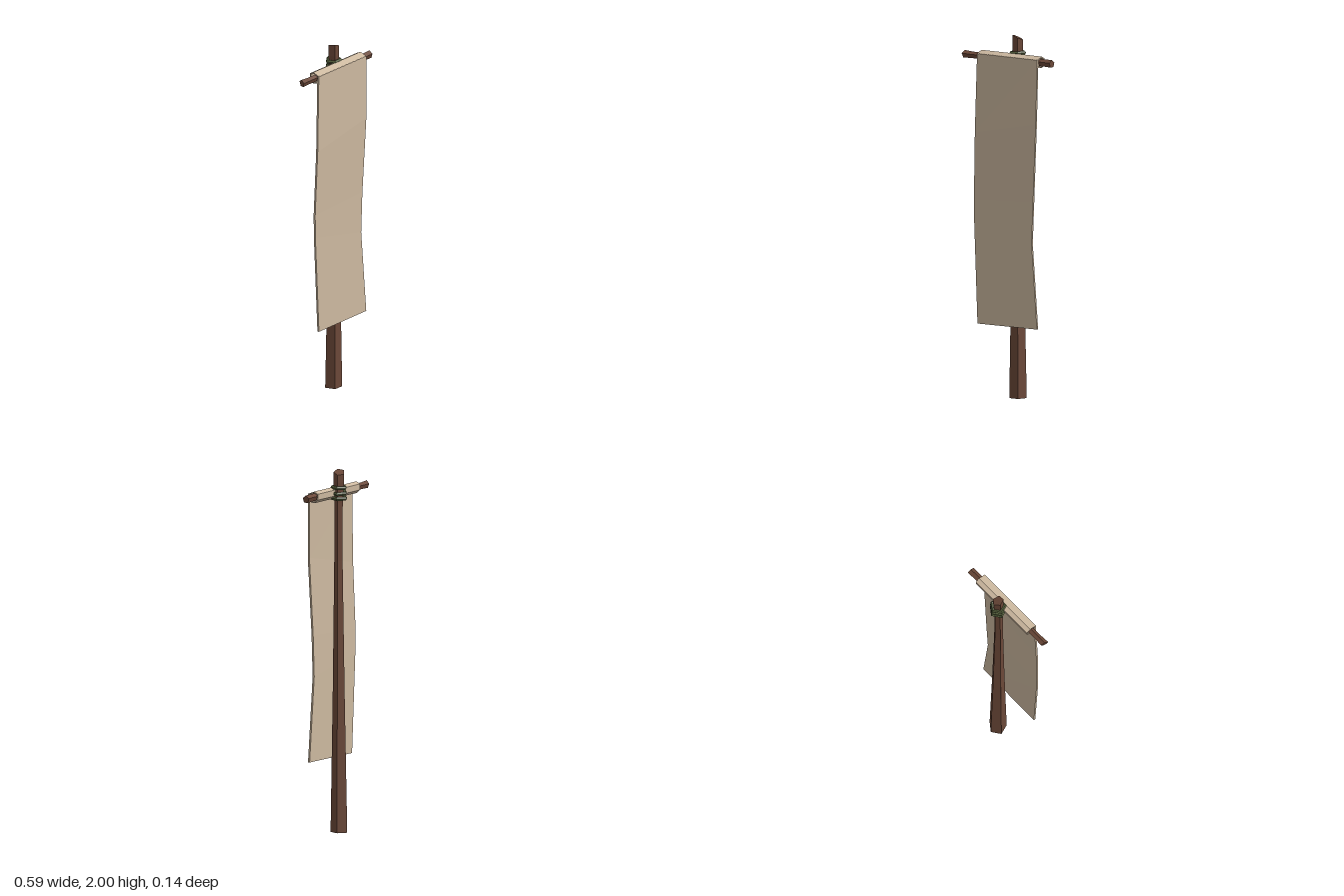
import * as THREE from 'three';

const material = (color, side = THREE.FrontSide) =>
  new THREE.MeshStandardMaterial({ color, flatShading: true, side });
const wood = material(0x6b4838);
const cloth = material(0xcdb9a0, THREE.DoubleSide);
const cord = material(0x55603c);

// Closed solid through rings of points (each ring clockwise seen from the far end)
function loft(rings) {
  const n = rings[0].length, index = [];
  for (let r = 0; r < rings.length - 1; r++) {
    for (let i = 0; i < n; i++) {
      const j = (i + 1) % n, a = r * n, b = a + n;
      index.push(a + i, b + i, a + j, a + j, b + i, b + j);
    }
  }
  const top = (rings.length - 1) * n;
  for (let i = 1; i < n - 1; i++) index.push(0, i, i + 1, top, top + i + 1, top + i);
  const g = new THREE.BufferGeometry();
  g.setAttribute('position', new THREE.Float32BufferAttribute(rings.flat(2), 3));
  g.setIndex(index);
  const flat = g.toNonIndexed();
  flat.computeVertexNormals();
  return flat;
}

// Five points around a centre, as [cos, sin] pairs mapped by a function
const pentagon = (fn) => Array.from({ length: 5 }, (_, i) => {
  const a = (i * Math.PI * 2) / 5;
  return fn(Math.cos(a), Math.sin(a));
});

export function createModel() {
  const model = new THREE.Group();
  const add = (name, geometry, mat) => {
    const mesh = new THREE.Mesh(geometry, mat);
    mesh.name = name;
    model.add(mesh);
    return mesh;
  };

  // Tapering five-sided pole with a slanted cut at the top: [y, radius, z, slant]
  const poleRings = [
    [0, 0.05, -0.018, 0],
    [0.75, 0.036, -0.015, 0],
    [1.5, 0.025, -0.012, 0],
    [1.82, 0.025, -0.013, 0],
    [1.93, 0.031, -0.015, 0],
    [1.985, 0.031, -0.015, 0.014],
  ].map(([y, r, z, slant]) => pentagon((c, s) =>
    [0.033 + r * s, y - slant * (0.6 * c + 0.8 * s), z - r * c]));
  add('pole', loft(poleRings), wood);

  // Crossbar, slightly turned, with rough cut ends: [x, radius, y, z, slant]
  const barRings = [
    [-0.29, 0.022, 1.868, 0.033, 0.007],
    [-0.24, 0.019, 1.867, 0.032, 0],
    [0.25, 0.021, 1.867, 0.024, 0],
    [0.294, 0.022, 1.866, 0.022, 0.001],
  ].map(([x, r, y, z, slant]) => pentagon((c, s) =>
    [x + slant * (s - 0.3 * c), y + r * c, z - r * s]));
  add('crossbar', loft(barRings), wood);

  // Cord wound around the pole at the joint
  [[1.842, 0.04, 0.03], [1.87, 0.038, -0.06], [1.9, 0.037, 0.05]].forEach(([y, r, tilt], i) => {
    const g = new THREE.TorusGeometry(r, 0.011, 5, 5);
    g.rotateZ(-Math.PI / 2).rotateX(Math.PI / 2);
    const ring = add('cordWrap' + (i + 1), g, cord);
    ring.position.set(0.033, y, -0.015);
    ring.rotation.z = tilt;
  });

  // Sleeve of cloth folded over the crossbar
  const outer = [[0.063, 1.884], [0.022, 1.9], [-0.003, 1.888], [-0.002, 1.855], [0.02, 1.836], [0.05, 1.842]];
  const inner = outer.map(([z, y]) => [0.029 + (z - 0.029) * 0.78, 1.868 + (y - 1.868) * 0.78]);
  const points = (list) => list.map(([z, y]) => new THREE.Vector2(-z, y));
  const shape = new THREE.Shape(points(outer));
  shape.holes.push(new THREE.Path(points(inner)));
  const sleeve = new THREE.ExtrudeGeometry(shape, { depth: 0.406, bevelEnabled: false });
  sleeve.rotateY(Math.PI / 2).translate(-0.184, 0, 0);
  const p = sleeve.attributes.position;
  for (let i = 0; i < p.count; i++) p.setZ(i, p.getZ(i) - 0.016 * p.getX(i));
  sleeve.computeVertexNormals();
  add('clothSleeve', sleeve, cloth);

  // Hanging cloth: [y left, y right, x left, x right, front z left, front z right]
  const thick = 0.011;
  const sheetRings = [
    [0.398, 0.402, -0.182, 0.221, 0.064, 0.06],
    [0.95, 0.87, -0.207, 0.182, 0.06, 0.057],
    [1.08, 1.1, -0.209, 0.192, 0.06, 0.057],
    [1.45, 1.53, -0.197, 0.216, 0.068, 0.065],
    [1.885, 1.885, -0.184, 0.222, 0.065, 0.059],
  ].map(([yl, yr, xl, xr, zl, zr]) => [
    [xl, yl, zl - thick], [xr, yr, zr - thick], [xr, yr, zr], [xl, yl, zl],
  ]);
  add('hangingCloth', loft(sheetRings), cloth);

  return model;
}
